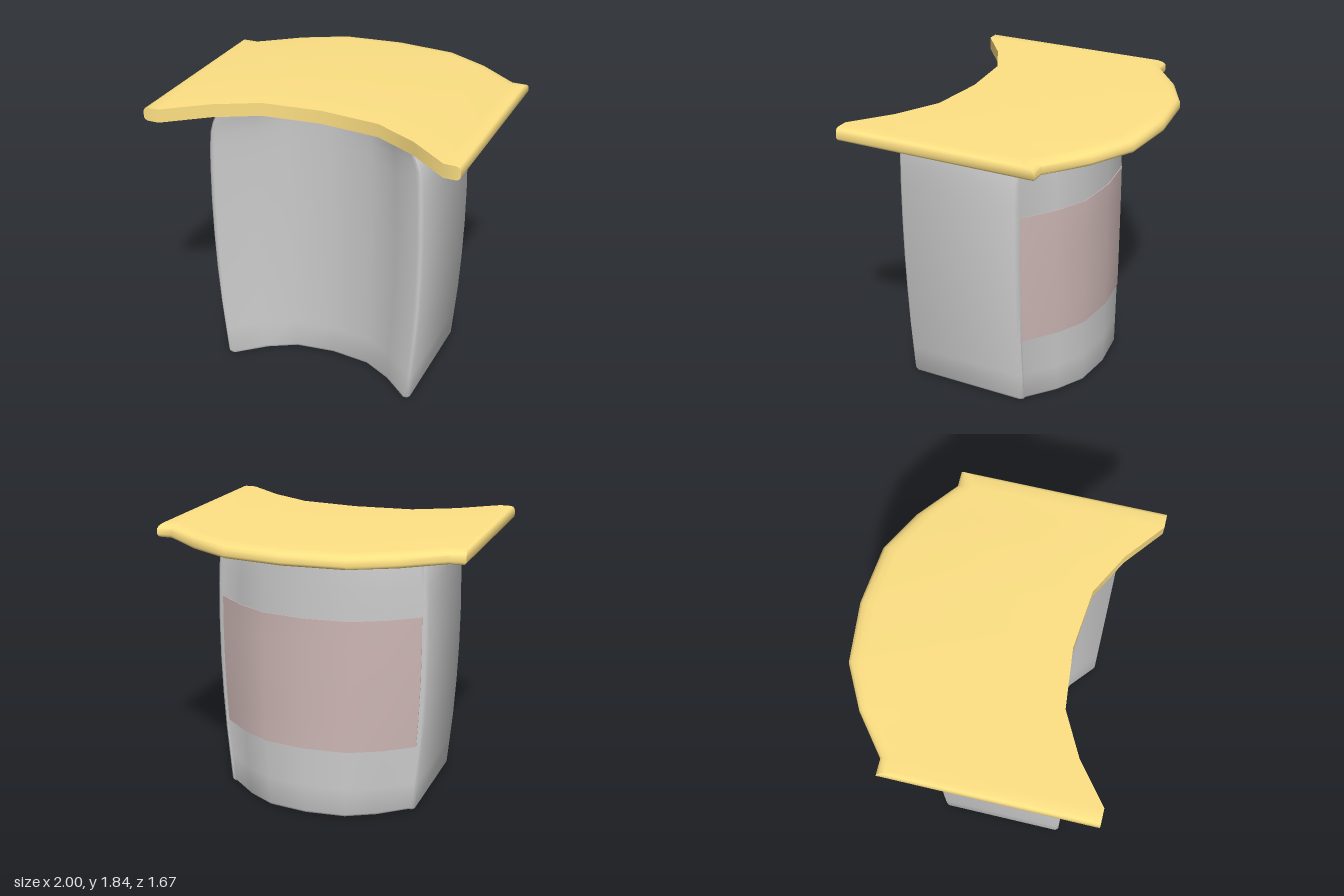
import * as THREE from 'three';
import { toCreasedNormals } from 'three/addons/utils/BufferGeometryUtils.js';

// Mirror half an edge, given as [x, z] from the middle outward, to run from -x to +x
const mirror = (half) => [...half.slice(1).reverse().map(([x, z]) => [-x, z]), ...half];

// Loft a closed solid. Each row holds a back edge and a front edge
// (equal counts of [x, z], running from -x to +x) at height y.
function loft(rows, crease) {
  const pos = [];
  const tri = (...pts) => pts.forEach((p) => pos.push(...p));
  const at = (edge, y) => edge.map(([x, z]) => [x, y, z]);
  const levels = rows.map((r) => ({ back: at(r.back, r.y), front: at(r.front, r.y) }));
  const rings = levels.map((l) => [...l.back, ...[...l.front].reverse()]);
  for (let j = 0; j < rings.length - 1; j++) {
    const n = rings[j].length;
    for (let i = 0; i < n; i++) {
      const k = (i + 1) % n;
      const a = rings[j][i], b = rings[j][k], c = rings[j + 1][i], d = rings[j + 1][k];
      tri(a, c, b);
      tri(b, c, d);
    }
  }
  // Top and bottom caps
  const lo = levels[0], hi = levels[levels.length - 1];
  for (let i = 0; i < lo.back.length - 1; i++) {
    tri(hi.back[i], hi.front[i], hi.front[i + 1]);
    tri(hi.back[i], hi.front[i + 1], hi.back[i + 1]);
    tri(lo.back[i], lo.front[i + 1], lo.front[i]);
    tri(lo.back[i], lo.back[i + 1], lo.front[i + 1]);
  }
  const g = new THREE.BufferGeometry();
  g.setAttribute('position', new THREE.Float32BufferAttribute(pos, 3));
  return toCreasedNormals(g, crease);
}

function part(name, geometry, color) {
  const mesh = new THREE.Mesh(geometry, new THREE.MeshStandardMaterial({ color }));
  mesh.name = name;
  return mesh;
}

// Curved back of the pedestal, half of it, at floor width
const arc = [[0, -0.485], [0.26, -0.455], [0.445, -0.355], [0.62, -0.21]];
const DEPTH = 0.815;

// Barrel-shaped width of the pedestal: height, half width
const widths = [
  [0.02, 0.655], [0.2, 0.672], [0.4, 0.69], [0.65, 0.705], [0.9, 0.714], [1.15, 0.716],
  [1.4, 0.711], [1.53, 0.704], [1.63, 0.693], [1.69, 0.675], [1.75, 0.648],
];

function widthAt(y) {
  const i = Math.max(1, widths.findIndex(([h]) => h >= y));
  const [y0, w0] = widths[i - 1], [y1, w1] = widths[i];
  return w0 + ((w1 - w0) * (y - y0)) / (y1 - y0);
}

function pedestalRow(y, w, inset = 0) {
  const s = w / 0.655;
  const scale = (half, dz) => mirror(half.map(([x, z]) => [x * s, z + dz]));
  return {
    y,
    back: scale([...arc, [0.64, -0.21], [0.655, -0.192]], inset),
    front: scale([...arc, [0.64, -0.21], [0.655, -0.228]], DEPTH - inset),
  };
}

// Thin panel lying on the curved back
function panelRow(y) {
  const s = widthAt(y) / 0.655;
  const edge = (dz) => mirror(arc.map(([x, z]) => [x * s, z + dz]));
  return { y, back: edge(-0.005), front: edge(0.005) };
}

// Curved table top with rounded ends and a softly rounded back edge
function topRow([y, endInset, backInset]) {
  const half = [[0, -0.838], [0.38, -0.8], [0.65, -0.66], [0.9, -0.465], [1 - endInset, -0.465]];
  return {
    y,
    back: mirror(half.map(([x, z]) => [x, z + backInset])),
    front: mirror(half.map(([x, z]) => [x, z + 1.3])),
  };
}

export function createModel() {
  const group = new THREE.Group();
  group.name = 'curvedLectern';

  const pedestalRows = [
    pedestalRow(0, 0.635, 0.02),
    pedestalRow(0.006, 0.649, 0.006),
    ...widths.map(([y, w]) => pedestalRow(y, w)),
  ];
  group.add(part('pedestal', loft(pedestalRows, 0.85), 0xcccccc));

  const panelRows = [0.46, 0.65, 0.9, 1.15, 1.33].map(panelRow);
  group.add(part('backPanel', loft(panelRows, 0.7), 0xcdb7b5));

  // Height, end inset, back inset
  const topRows = [
    [1.75, 0.025, 0.015], [1.756, 0.009, 0.004], [1.77, 0, 0], [1.805, 0, 0.004],
    [1.82, 0.004, 0.022], [1.83, 0.012, 0.055], [1.835, 0.028, 0.1],
  ].map(topRow);
  group.add(part('tableTop', loft(topRows, 0.85), 0xffe184));

  return group;
}
